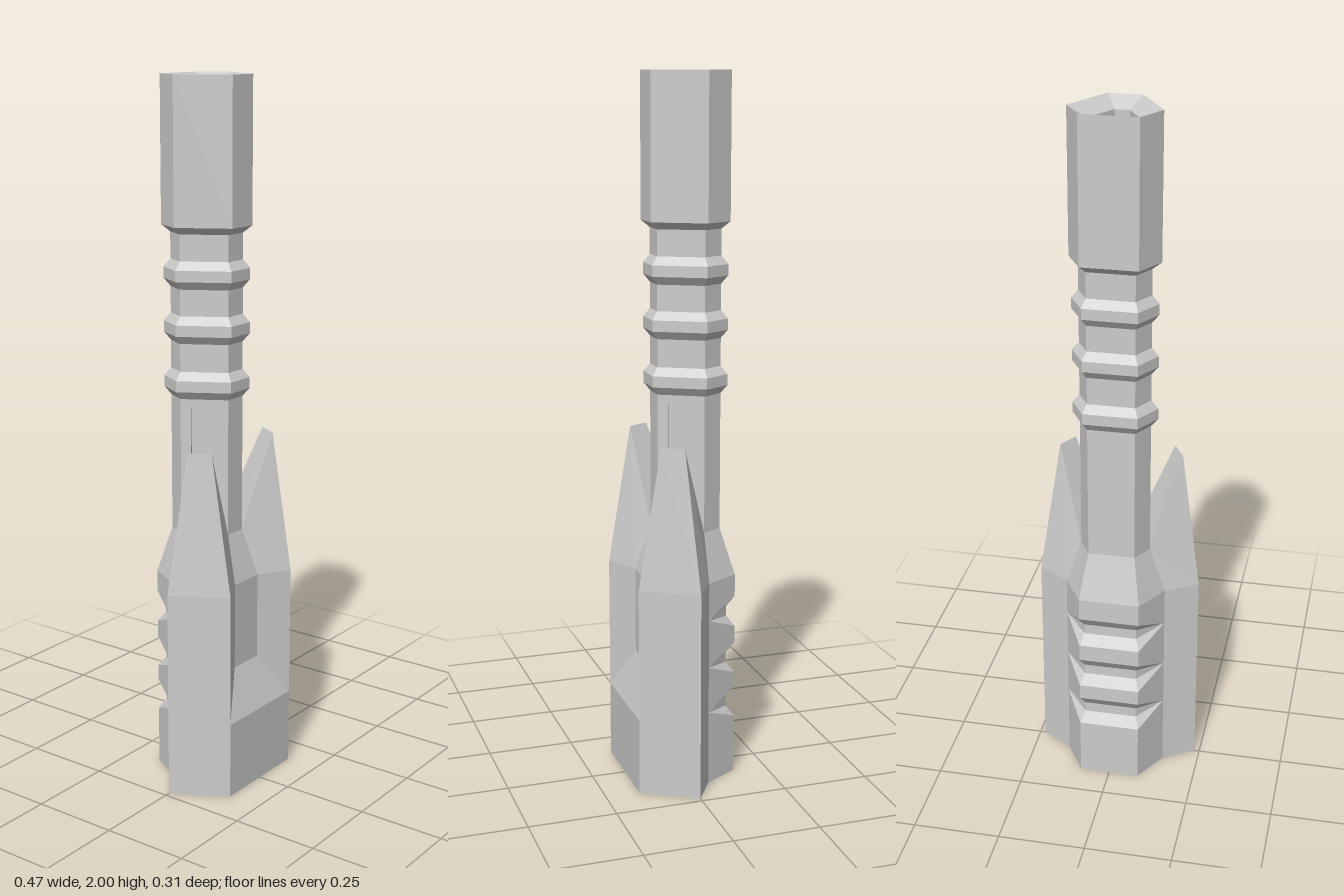
import * as THREE from 'three';

const material = new THREE.MeshStandardMaterial({ color: 0xcccccc, flatShading: true });
const AXIS_Z = -0.036; // the barrel axis sits a little behind the centre

// Mirror the +x half of a section (ordered back to front) into a closed ring
const ring = (half) => [...half, ...half.map(([x, y, z]) => [-x, y, z]).reverse()];

// Skin a stack of half sections with flat facets
function loft(name, halves) {
  const rings = halves.map(ring);
  const pos = [];
  for (let i = 0; i < rings.length - 1; i++) {
    const n = rings[i].length;
    for (let j = 0; j < n; j++) {
      const k = (j + 1) % n;
      const a = rings[i][j], b = rings[i][k], c = rings[i + 1][k], d = rings[i + 1][j];
      pos.push(...a, ...d, ...c, ...a, ...c, ...b);
    }
  }
  const geo = new THREE.BufferGeometry();
  geo.setAttribute('position', new THREE.Float32BufferAttribute(pos, 3));
  geo.computeVertexNormals();
  const mesh = new THREE.Mesh(geo, material);
  mesh.name = name;
  return mesh;
}

// Half of a hexagon with alternating long and short sides; a = distance to long sides
function hexHalf(a, y) {
  const b = a + 0.019, r3 = Math.sqrt(3);
  const short = (4 * a - 2 * b) / r3, long = (4 * b - 2 * a) / r3;
  return [
    [long / 2, y, AXIS_Z - a],
    [(long + short) / 2, y, AXIS_Z - a + (short * r3) / 2],
    [short / 2, y, AXIS_Z + b],
  ];
}

const pointRow = (count, y, z) => Array.from({ length: count }, () => [0, y, z]);

// Collared neck and muzzle with a funnelled bore
function makeBarrel() {
  const profile = [[0.077, 1.1]];
  for (const y of [1.125, 1.28, 1.43]) {
    profile.push([0.077, y], [0.094, y + 0.023], [0.094, y + 0.054], [0.077, y + 0.077]);
  }
  profile.push([0.077, 1.58], [0.0987, 1.6], [0.0987, 2], [0.054, 1.97], [0.054, 1.75]);
  return loft('barrel', [
    pointRow(3, 1.1, AXIS_Z),
    ...profile.map(([a, y]) => hexHalf(a, y)),
    pointRow(3, 1.75, AXIS_Z),
  ]);
}

// Lower neck with a recessed slot on each front diagonal face
function makeNeck() {
  const section = (y) => {
    const [back, mid, front] = hexHalf(0.077, y);
    const at = (t, depth) => [
      mid[0] + (front[0] - mid[0]) * t - depth * 0.866,
      y,
      mid[2] + (front[2] - mid[2]) * t - depth * 0.5,
    ];
    return [back, mid, at(0.22, 0), at(0.22, 0.012), at(0.78, 0.012), at(0.78, 0), front];
  };
  return loft('slottedNeck', [section(0.6), section(1.1)]);
}

// Housing: front channel, three back grooves, two side prongs, hollow base
function makeHousing() {
  // back edge [x, y, z] and back corner height for each level
  const backs = [[0.087, 0, -0.153, 0]];
  for (const yc of [0.215, 0.35, 0.49]) {
    for (const [dy, cut] of [[-0.045, 0], [-0.015, 1], [0.015, 1], [0.045, 0]]) {
      backs.push([cut ? 0.076 : 0.087, yc + dy, cut ? -0.131 : -0.153, yc]);
    }
  }
  backs.push([0.087, 0.6, -0.153, 0.6]);

  const walls = backs.map(([x, y, z, cornerY], i) => {
    const fy = i === 0 ? 0 : i === 1 ? 0.22 : 0.35 + (0.25 * (i - 2)) / (backs.length - 3);
    const channel = i < 2 ? [0.147, fy, 0.152] : [0.055, fy, 0.1];
    return [[x, y, z], [0.145, cornerY, -0.055], [0.235, fy, 0], [0.147, fy, 0.152], channel];
  });

  const inner = (y) => walls[0].map(([x, , z]) => [x * 0.74, y, z * 0.74]);

  // shoulder meets the neck while the sides rise into prongs
  const [neckBack, neckMid, neckFront] = hexHalf(0.077, 0.735);
  const prongs = [neckBack, neckMid, [0.177, 1, 0.028], [0.145, 1, 0.086], neckFront];
  const seat = [neckBack, neckMid, neckMid, neckFront, neckFront];

  return loft('housing', [pointRow(5, 0.2, 0), inner(0.2), inner(0.03), ...walls, prongs, seat]);
}

export function createModel() {
  const model = new THREE.Group();
  model.name = 'prongedBarrel';
  model.add(makeHousing(), makeNeck(), makeBarrel());
  return model;
}
